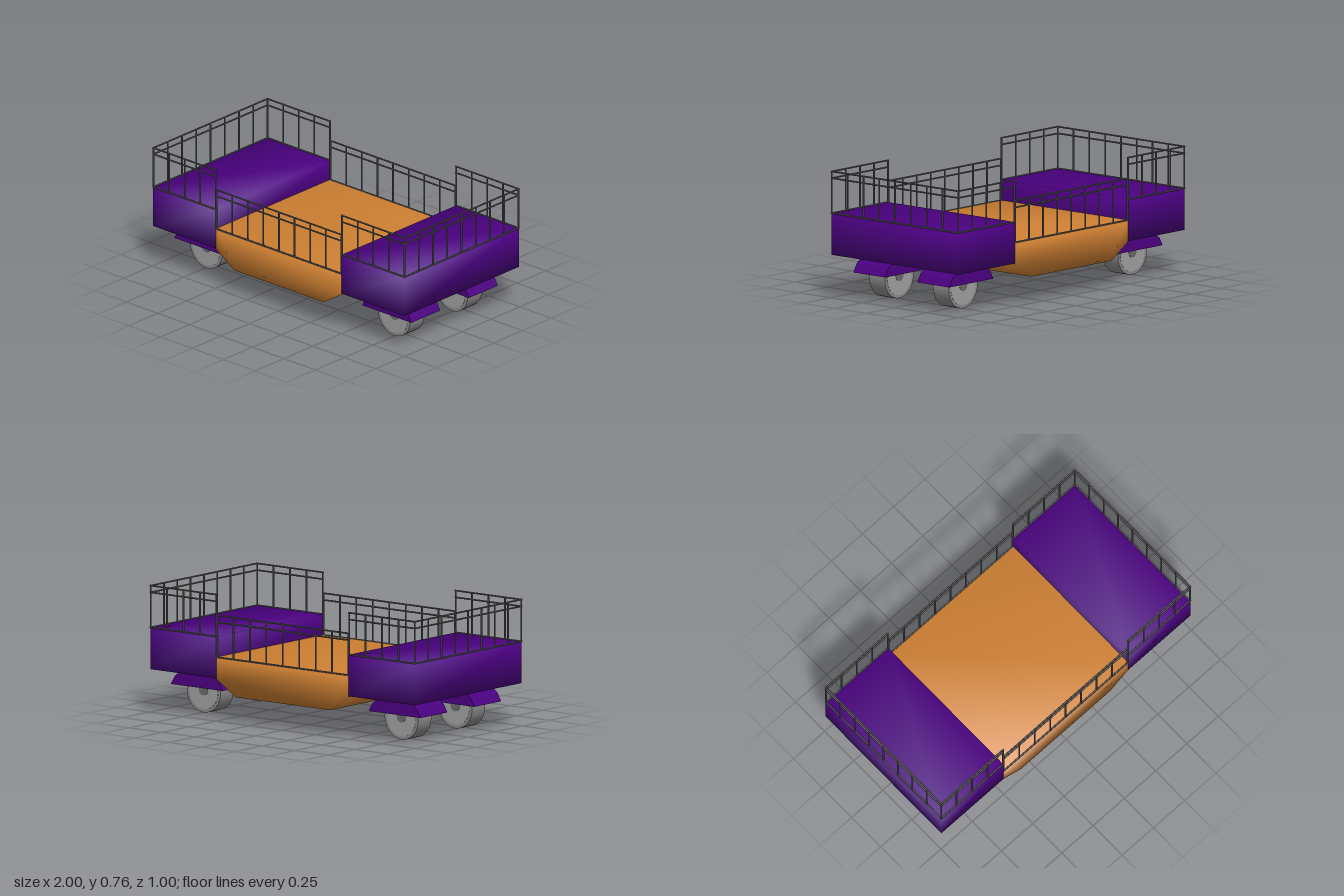
import * as THREE from 'three';
import { mergeGeometries, mergeVertices } from 'three/addons/utils/BufferGeometryUtils.js';

const mat = (name, color) => {
  const m = new THREE.MeshStandardMaterial({ color });
  m.name = name;
  return m;
};

// Weld shared corners so the shading runs smoothly over edges
function smooth(geo) {
  geo.deleteAttribute('normal');
  geo.deleteAttribute('uv');
  const g = mergeVertices(geo, 1e-4);
  g.computeVertexNormals();
  return g;
}

// Solid with an xy outline, extruded along z and centred on z = 0
function prism(points, depth) {
  const shape = new THREE.Shape(points.map(([x, y]) => new THREE.Vector2(x, y)));
  const g = new THREE.ExtrudeGeometry(shape, { depth, bevelEnabled: false });
  return g.translate(0, 0, -depth / 2);
}

// Cylinder lying along z
const disc = (radius, width, sides) =>
  new THREE.CylinderGeometry(radius, radius, width, sides).rotateX(Math.PI / 2);

export function createModel() {
  const group = new THREE.Group();
  const purple = mat('purple', 0x4b0082);
  const orange = mat('orange', 0xcd7f32);
  const tyreGrey = mat('tyre grey', 0x888888);
  const rimGrey = mat('rim grey', 0xa0a0a0);
  const hubGrey = mat('hub grey', 0x696969);
  const railGrey = mat('rail grey', 0x5c5c5c);

  const add = (name, geo, material, x = 0, y = 0, z = 0) => {
    const m = new THREE.Mesh(geo, material);
    m.name = name;
    m.position.set(x, y, z);
    group.add(m);
  };

  // Low middle deck with sloping underside
  add('middleDeck', smooth(prism([
    [-0.5, 0.38], [-0.5, 0.25], [-0.355, 0.157], [0.355, 0.157], [0.5, 0.25], [0.5, 0.38],
  ], 0.992)), orange);

  // Raised end blocks, wheel covers and wheels
  const blockGeo = smooth(new THREE.BoxGeometry(0.497, 0.247, 0.995));
  const coverGeo = prism([
    [-0.195, 0.157], [0.195, 0.157], [0.168, 0.205], [0.12, 0.245], [0.095, 0.258],
    [-0.095, 0.258], [-0.12, 0.245], [-0.168, 0.205],
  ], 0.25);
  const tyreGeo = disc(0.127, 0.122, 32);
  const rimGeo = disc(0.108, 0.125, 32);
  const hubGeo = disc(0.034, 0.128, 12);
  for (const sx of [-1, 1]) {
    add('endBlock', blockGeo, purple, sx * 0.7475, 0.3785, 0);
    for (const sz of [-1, 1]) {
      add('wheelCover', coverGeo, purple, sx * 0.745, 0, sz * 0.25);
      add('tyre', tyreGeo, tyreGrey, sx * 0.745, 0.127, sz * 0.25);
      add('wheelRim', rimGeo, rimGrey, sx * 0.745, 0.127, sz * 0.25);
      add('wheelHub', hubGeo, hubGrey, sx * 0.745, 0.135, sz * 0.25);
    }
  }

  // Straight railing along x: three round rails and evenly spaced round posts
  const R = 0.005;
  function railing(length, height, bays) {
    const parts = [0, height - 0.04, height].map((y) =>
      new THREE.CylinderGeometry(R, R, length + 2 * R, 8).rotateZ(Math.PI / 2).translate(0, y, 0));
    for (let i = 0; i <= bays; i++) {
      parts.push(new THREE.CylinderGeometry(R, R, height, 8)
        .translate(-length / 2 + (length * i) / bays, height / 2, 0));
    }
    return mergeGeometries(parts);
  }
  const sideRail = railing(0.495, 0.248, 4);
  const endRail = railing(0.99, 0.248, 8).rotateY(Math.PI / 2);
  const deckRail = railing(0.99, 0.248, 8);
  for (const s of [-1, 1]) {
    add('endRailing', endRail, railGrey, s * 0.995, 0.503, 0);
    add('deckRailing', deckRail, railGrey, 0, 0.38, s * 0.495);
    for (const sz of [-1, 1]) {
      add('sideRailing', sideRail, railGrey, s * 0.7475, 0.503, sz * 0.495);
    }
  }
  return group;
}
